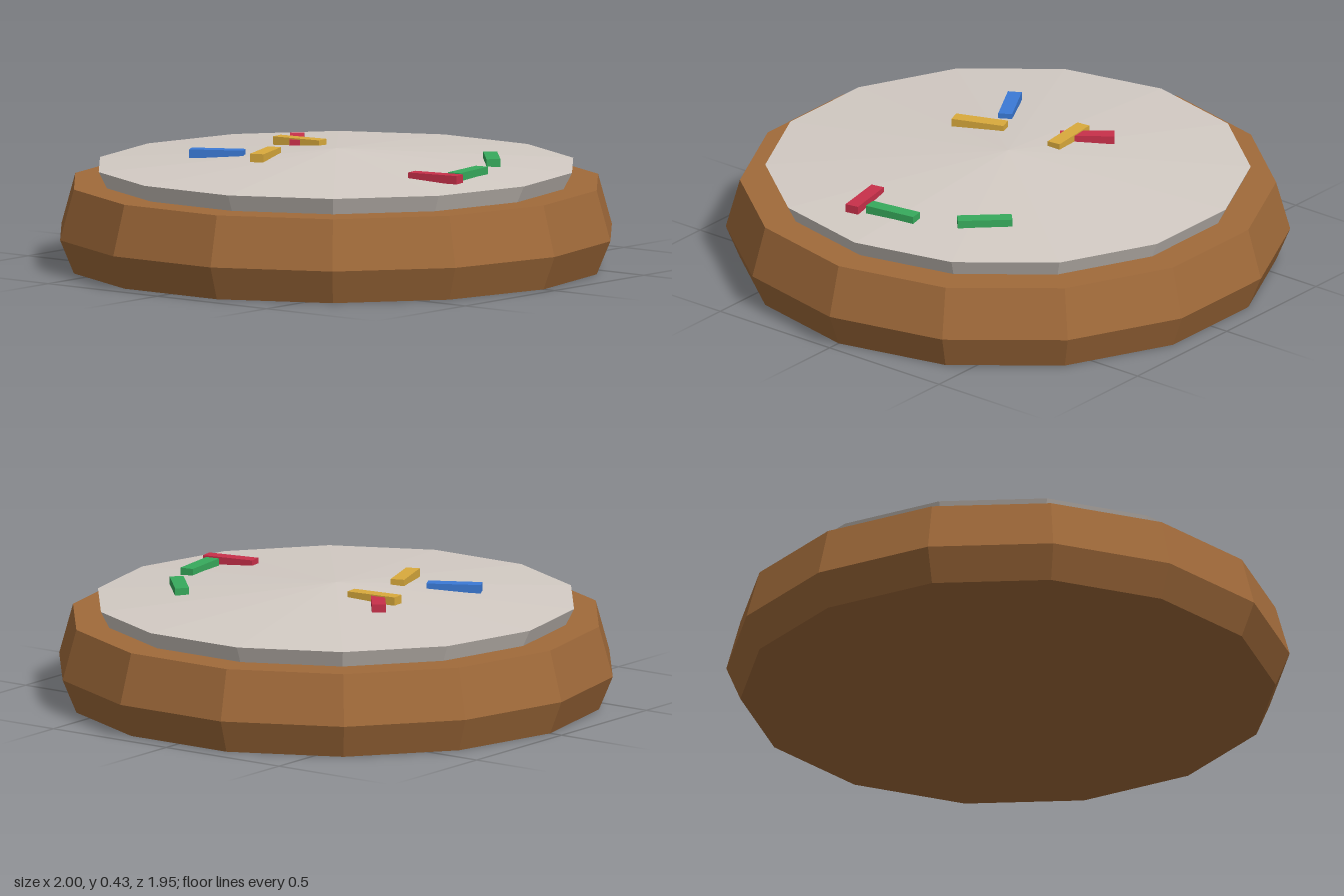
import * as THREE from 'three';

const SIDES = 14;

function mat(name, color) {
  const m = new THREE.MeshStandardMaterial({ color });
  m.name = name;
  return m;
}

// Faceted solid of revolution from [radius, y] points listed bottom to top
function facetedSolid(name, profile, material) {
  const pts = profile.map(([r, y]) => new THREE.Vector2(r, y));
  const geo = new THREE.LatheGeometry(pts, SIDES, Math.PI / 2).toNonIndexed();
  geo.computeVertexNormals();
  const mesh = new THREE.Mesh(geo, material);
  mesh.name = name;
  return mesh;
}

export function createModel() {
  const group = new THREE.Group();
  group.name = 'frostedCookie';

  const brown = mat('baked brown', 0xa06a3a);
  const icing = mat('icing white', 0xd3cbc4);
  const red = mat('red', 0xc8304a);
  const yellow = mat('yellow', 0xd9aa3c);
  const green = mat('green', 0x37aa5c);
  const blue = mat('blue', 0x3b7ad6);

  // Baked base with a bulging rim
  group.add(facetedSolid('base', [[0, 0], [0.95, 0], [1, 0.12], [0.95, 0.3], [0, 0.3]], brown));

  // Icing cap, undercut at the edge and rising gently to the middle
  group.add(facetedSolid('icing', [[0, 0.301], [0.83, 0.301], [0.86, 0.36], [0, 0.42]], icing));

  // Sprinkles: x, z, then direction of the long side in x and z
  const sprinkles = [
    [red, -0.285, -0.13, 0.62, 0.78],
    [yellow, -0.235, -0.085, 36, -4],
    [green, 0.48, -0.285, 24.5, 26.5],
    [green, 0.62, 0.02, 5.5, 36.5],
    [red, 0.595, 0.17, 36.5, -7],
    [blue, -0.33, 0.26, 32.5, -18],
    [yellow, -0.13, 0.235, 13, 35],
  ];
  const bar = new THREE.BoxGeometry(0.194, 0.03, 0.05);
  for (const [material, x, z, dx, dz] of sprinkles) {
    const s = new THREE.Mesh(bar, material);
    s.name = 'sprinkle';
    s.position.set(x, 0.43 - 0.07 * Math.hypot(x, z), z);
    s.rotation.y = Math.atan2(-dz, dx);
    group.add(s);
  }
  return group;
}
